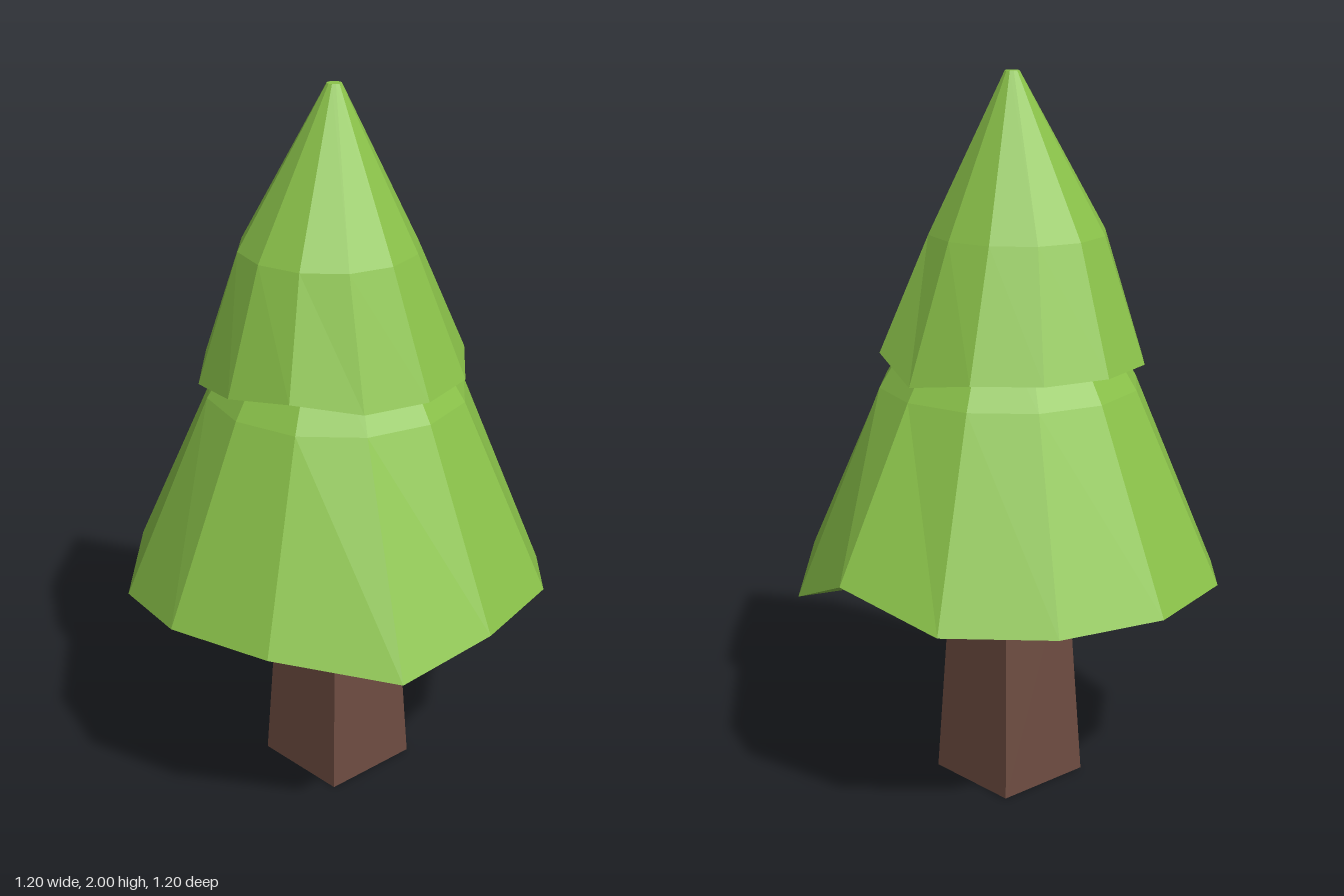
import * as THREE from 'three';

const SIDES = 12;

// One ring of foliage corners: radius, height, sideways shift, and corner tweaks { index: [x, y, z] }
function ring(r, y, cx = 0, tweaks = {}) {
  return Array.from({ length: SIDES }, (_, i) => {
    const a = (i / SIDES) * Math.PI * 2;
    const [dx, dy, dz] = tweaks[i] ?? [0, 0, 0];
    return [cx + r * Math.cos(a) + dx, y + dy, r * Math.sin(a) + dz];
  });
}

// Closed faceted skin through a stack of rings, bottom to top
function loft(rings, bottomCentre, topCentre) {
  const pos = [];
  const tri = (a, b, c) => pos.push(...a, ...b, ...c);
  const last = rings[rings.length - 1];
  for (let i = 0; i < SIDES; i++) {
    const j = (i + 1) % SIDES;
    for (let k = 0; k < rings.length - 1; k++) {
      const lo = rings[k], hi = rings[k + 1];
      tri(lo[i], hi[i], hi[j]);
      tri(lo[i], hi[j], lo[j]);
    }
    tri(bottomCentre, rings[0][i], rings[0][j]);
    tri(topCentre, last[j], last[i]);
  }
  const geo = new THREE.BufferGeometry();
  geo.setAttribute('position', new THREE.Float32BufferAttribute(pos, 3));
  geo.computeVertexNormals();
  return geo;
}

export function createModel() {
  const leaf = new THREE.MeshStandardMaterial({ color: 0x8bc34a, flatShading: true });
  leaf.name = 'leaf green';
  const bark = new THREE.MeshStandardMaterial({ color: 0x6d4c41, flatShading: true });
  bark.name = 'bark brown';

  const tree = new THREE.Group();
  tree.name = 'tree';
  const add = (name, geo, mat) => {
    const mesh = new THREE.Mesh(geo, mat);
    mesh.name = name;
    tree.add(mesh);
  };

  // Square tapered trunk with green end caps
  const trunk = new THREE.CylinderGeometry(0.115 * Math.SQRT2, 0.147 * Math.SQRT2, 0.65, 4);
  trunk.rotateY(Math.PI / 4).translate(0, 0.325, 0);
  add('trunk', trunk, [bark, leaf, leaf]);

  // Wide lower foliage with an uneven hem
  const lowerHem = ring(0.598, 0.63, 0, {
    0: [0, 0.075, 0],
    1: [0, -0.055, 0],
    4: [0, -0.04, 0.057],
    7: [0, -0.04, 0],
  });
  add('lowerFoliage',
    loft([lowerHem, ring(0.36, 1.16), ring(0.2, 1.42)], [0, 0.62, 0], [0, 1.42, 0]), leaf);

  // Upper foliage, bending inward above its middle to a blunt tip
  const upperHem = ring(0.37, 1.23, -0.015, {
    0: [0, -0.03, 0],
    1: [0, 0.025, 0],
    5: [0, 0.025, 0],
    7: [0, -0.025, 0],
  });
  add('upperFoliage',
    loft([upperHem, ring(0.245, 1.57, -0.03), ring(0.02, 2, -0.01)], [-0.015, 1.23, 0], [-0.01, 2, 0]), leaf);

  return tree;
}
